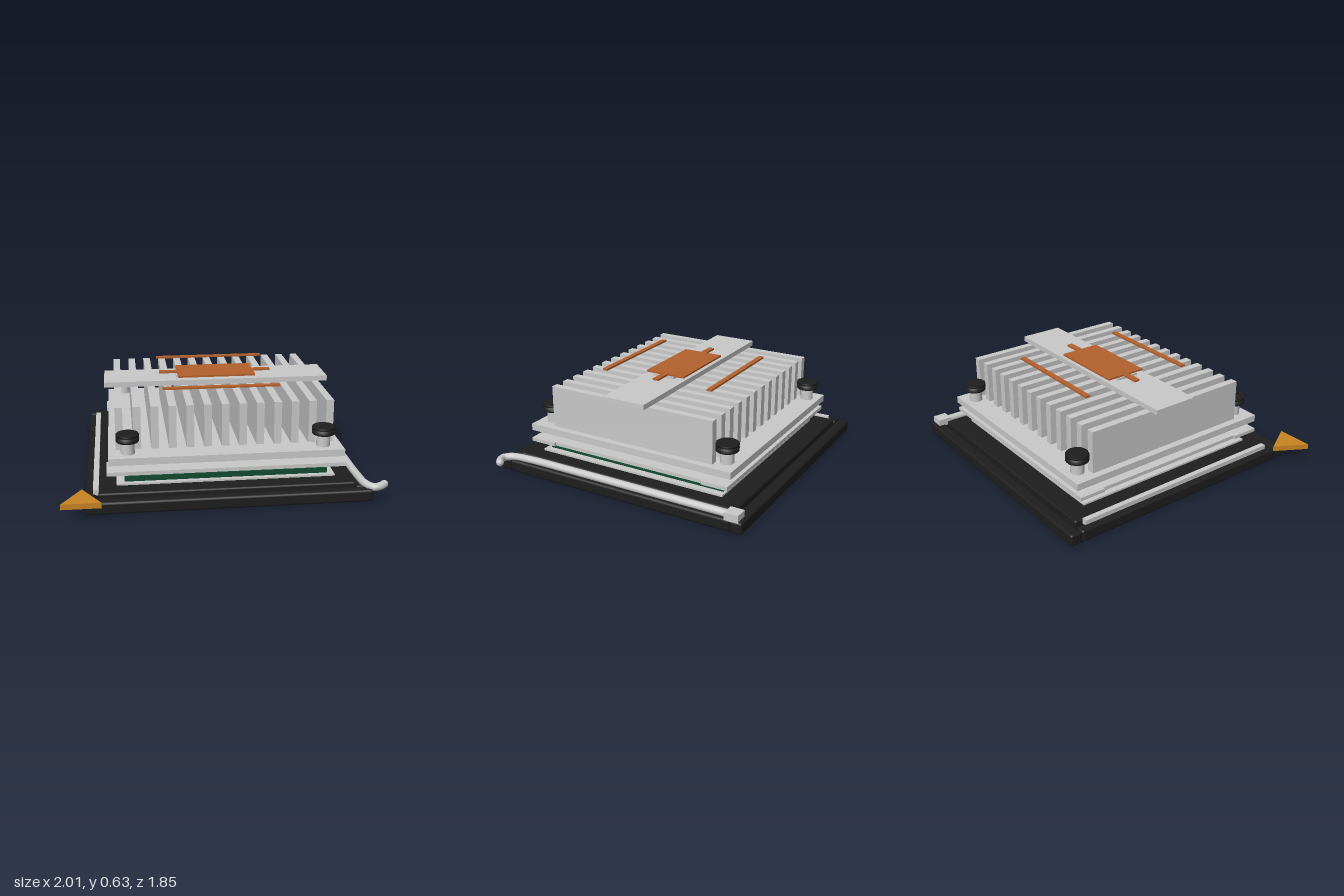
import * as THREE from 'three';
import { RoundedBoxGeometry } from 'three/addons/geometries/RoundedBoxGeometry.js';

const mat = (name, color) => {
  const m = new THREE.MeshStandardMaterial({ color });
  m.name = name;
  return m;
};

export function createModel() {
  const root = new THREE.Group();
  root.name = 'socketAndHeatsink';
  const black = mat('black plastic', 0x1e1e1f);
  const darkBase = mat('dark base', 0x151516);
  const metal = mat('light metal', 0xc9c9c9);
  const copper = mat('copper', 0xb5622c);
  const gold = mat('gold', 0xc98422);
  const green = mat('board green', 0x124a30);

  const add = (name, geometry, material) => {
    const mesh = new THREE.Mesh(geometry, material);
    mesh.name = name;
    root.add(mesh);
    return mesh;
  };
  // Box given by its limits on each axis
  const box = (name, material, x0, x1, y0, y1, z0, z1, radius = 0) => {
    const size = [x1 - x0, y1 - y0, z1 - z0];
    const g = radius ? new RoundedBoxGeometry(...size, 2, radius) : new THREE.BoxGeometry(...size);
    g.translate((x0 + x1) / 2, (y0 + y1) / 2, (z0 + z1) / 2);
    return add(name, g, material);
  };
  // Flat triangular marker pointing to the back
  const triangle = (name, x0, x1, y0, y1, zTip, zBase) => {
    const s = new THREE.Shape([
      new THREE.Vector2(x0, -zBase), new THREE.Vector2(x1, -zBase),
      new THREE.Vector2((x0 + x1) / 2, -zTip)]);
    const g = new THREE.ExtrudeGeometry(s, { depth: y1 - y0, bevelEnabled: false });
    g.rotateX(-Math.PI / 2).translate(0, y0, 0);
    add(name, g, gold);
  };

  // Socket base with rounded border bars
  box('baseFloor', darkBase, -0.85, 0.89, 0.002, 0.06, -0.91, 0.825);
  box('backBar', black, -0.86, 0.9, 0, 0.078, -0.925, -0.85, 0.015);
  box('frontBar', black, -0.86, 0.9, 0, 0.078, 0.765, 0.835, 0.015);
  box('leftBar', black, -0.86, -0.795, 0, 0.078, -0.845, 0.76, 0.015);
  box('rightBar', black, 0.815, 0.9, 0, 0.078, -0.845, 0.76, 0.015);
  box('innerFrame', black, -0.78, 0.81, 0.04, 0.1, -0.84, 0.75, 0.012);
  box('contactPlate', metal, -0.67, 0.705, 0.1, 0.112, -0.7, 0.635);
  box('hingeRail', metal, -0.815, -0.78, 0.07, 0.107, -0.79, 0.7);

  // Locking lever with a hooked handle
  const path = new THREE.CatmullRomCurve3([
    [0.852, 0.092, -0.81], [0.852, 0.092, -0.3], [0.852, 0.092, 0.3], [0.856, 0.092, 0.62],
    [0.872, 0.09, 0.765], [0.91, 0.087, 0.812], [0.955, 0.088, 0.8], [0.985, 0.09, 0.775],
  ].map((p) => new THREE.Vector3(...p)));
  add('lever', new THREE.TubeGeometry(path, 60, 0.025, 12), metal);
  const cap = add('leverEnd', new THREE.SphereGeometry(0.025, 12, 8), metal);
  cap.position.set(0.985, 0.09, 0.775);
  box('leverBlock', metal, 0.81, 0.897, 0.07, 0.12, -0.9, -0.81);

  // Processor board with small components along its edges
  box('board', green, -0.62, 0.66, 0.112, 0.145, -0.685, 0.605);
  for (let i = 0; i < 8; i++) {
    const x = -0.43 + i * 0.15, z = -0.645 + i * 0.172;
    for (const e of [-0.65, 0.57]) box('component', black, x - 0.025, x + 0.025, 0.145, 0.156, e - 0.015, e + 0.015);
    for (const e of [-0.585, 0.625]) box('component', black, e - 0.015, e + 0.015, 0.145, 0.156, z - 0.025, z + 0.025);
  }
  triangle('boardMarker', -0.635, -0.48, 0.147, 0.165, 0.52, 0.585);
  triangle('baseMarker', -1, -0.76, 0.085, 0.12, 0.71, 0.92);

  // Heat spreader and retention plate with corner tabs
  box('spreader', metal, -0.54, 0.58, 0.145, 0.182, -0.6, 0.51);
  box('retentionPlate', metal, -0.715, 0.75, 0.182, 0.206, -0.76, 0.68);
  for (const [x0, x1] of [[-0.728, -0.7], [0.735, 0.765]]) {
    for (const [z0, z1] of [[-0.76, -0.585], [0.495, 0.68]]) box('cornerTab', metal, x0, x1, 0.1825, 0.2055, z0, z1);
  }
  box('spacerLower', metal, -0.475, 0.51, 0.206, 0.227, -0.53, 0.45);
  box('spacerUpper', metal, -0.49, 0.525, 0.227, 0.252, -0.545, 0.47);

  // Heatsink
  box('heatsinkBase', metal, -0.715, 0.75, 0.252, 0.297, -0.775, 0.687);
  for (let i = 0; i < 13; i++) {
    const x = -0.668 + i * 0.1105;
    box('fin', metal, x, x + 0.048, 0.297, 0.572, -0.63, 0.535);
  }
  box('clampBar', metal, -0.73, 0.765, 0.572, 0.606, -0.195, 0.1);
  box('clampPad', metal, -0.25, 0.285, 0.606, 0.62, -0.118, 0.035);

  // Copper plates above the fins
  box('copperPlate', copper, -0.24, 0.275, 0.62, 0.632, -0.187, 0.09);
  box('copperArm', copper, -0.36, -0.24, 0.62, 0.632, -0.07, -0.03);
  box('copperArm', copper, 0.275, 0.395, 0.62, 0.632, -0.07, -0.03);
  for (const z of [-0.437, 0.34]) box('copperStrip', copper, -0.36, 0.395, 0.62, 0.632, z - 0.017, z + 0.017);

  // Corner screws: post, grooved head
  for (const x of [-0.595, 0.63]) {
    for (const z of [-0.69, 0.595]) {
      const post = add('screwPost', new THREE.CylinderGeometry(0.043, 0.043, 0.09, 24), metal);
      post.position.set(x, 0.335, z);
      const profile = [[0, 0.375], [0.068, 0.375], [0.072, 0.38], [0.072, 0.402], [0.062, 0.404],
        [0.062, 0.41], [0.072, 0.412], [0.072, 0.422], [0.068, 0.426], [0, 0.426]];
      const head = add('screwHead', new THREE.LatheGeometry(profile.map((p) => new THREE.Vector2(...p)), 28), black);
      head.position.set(x, 0, z);
    }
  }
  return root;
}
